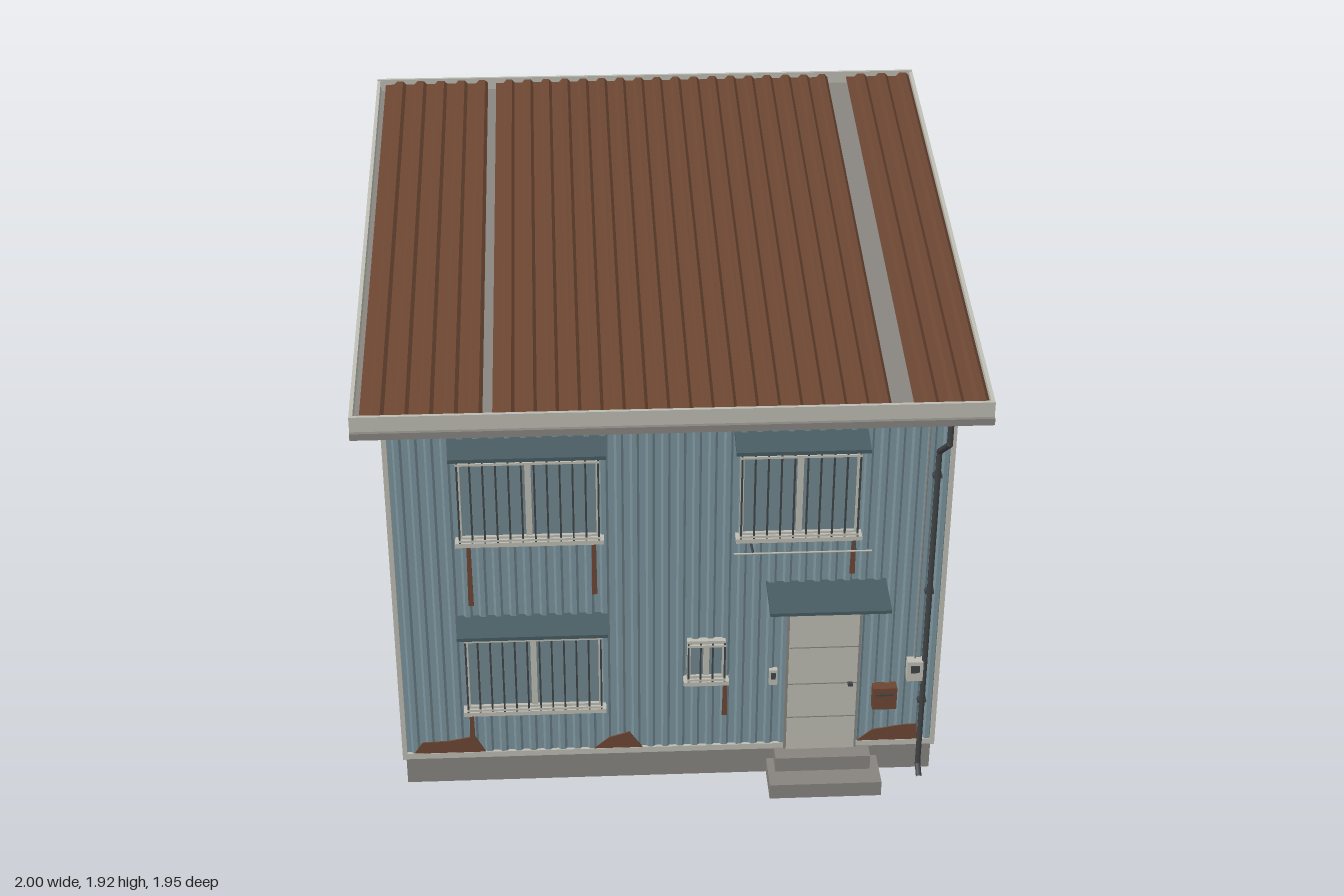
import * as THREE from 'three';

export function createModel() {
  const house = new THREE.Group();
  house.name = 'house';
  const mat = (name, color, side = THREE.FrontSide) => {
    const m = new THREE.MeshStandardMaterial({ color, side });
    m.name = name;
    return m;
  };
  const wall = mat('blueCladding', 0x7a929b, THREE.DoubleSide);
  const trim = mat('paleTrim', 0xbcbcb3);
  const rust = mat('rustBrown', 0x6b4632, THREE.DoubleSide);
  const grey = mat('concreteGrey', 0x87847f);
  const dark = mat('darkMetal', 0x404345);
  const teal = mat('darkTeal', 0x475b61);
  const glass = mat('windowGlass', 0x6f878f);

  const add = (parent, name, geo, material) => {
    const m = new THREE.Mesh(geo, material);
    m.name = name;
    parent.add(m);
    return m;
  };
  // Box given by its limits on each axis
  const box = (p, name, m, x0, x1, y0, y1, z0, z1) => add(p, name,
    new THREE.BoxGeometry(x1 - x0, y1 - y0, z1 - z0)
      .translate((x0 + x1) / 2, (y0 + y1) / 2, (z0 + z1) / 2), m);
  const outline = (pts) => new THREE.Shape(pts.map(([a, b]) => new THREE.Vector2(a, b)));
  // Side profile of [z, y] points, extruded along x
  const sideSlab = (p, name, m, pts, x0, x1) => add(p, name,
    new THREE.ExtrudeGeometry(outline(pts), { depth: x1 - x0, bevelEnabled: false })
      .rotateY(-Math.PI / 2).translate(x1, 0, 0), m);
  // Thin painted plate of [x, y] points on the front wall
  const plate = (p, name, m, pts, z) => add(p, name,
    new THREE.ExtrudeGeometry(outline(pts), { depth: 0.005, bevelEnabled: false }).translate(0, 0, z), m);
  const rod = (p, name, m, a, b, r = 0.004) => add(p, name, new THREE.TubeGeometry(
    new THREE.LineCurve3(new THREE.Vector3(...a), new THREE.Vector3(...b)), 1, r, 6), m);

  // Ribbed sheet: place(u, v, rise) turns sheet coordinates into a point
  const ribbed = (name, m, length, pitch, place) => {
    const n = Math.max(1, Math.round(length / pitch));
    let g = new THREE.PlaneGeometry(1, 1, 4 * n, 1);
    const pos = g.attributes.position;
    const across = [0, 0.4, 0.55, 0.85];
    for (let i = 0; i < pos.count; i++) {
      const col = i % (4 * n + 1), k = col % 4;
      const u = (Math.floor(col / 4) + across[k]) / n;
      pos.setXYZ(i, ...place(u, pos.getY(i) + 0.5, k > 1 ? 1 : 0));
    }
    g = g.toNonIndexed();
    g.computeVertexNormals();
    return add(house, name, g, m);
  };

  const soffit = (z) => 1.51 + 0.181 * (0.95 - z);
  const FRONT = 0.787, SIDE = 0.917, BACK = -0.872;

  // Foundation, wall core and cladding
  box(house, 'foundation', grey, -0.91, 0.91, 0, 0.112, -0.87, 0.775);
  sideSlab(house, 'wallCore', wall,
    [[0.775, 0.11], [0.775, soffit(0.775)], [-0.87, soffit(-0.87)], [-0.87, 0.11]], -0.905, 0.905);
  ribbed('frontCladding', wall, 1.82, 0.05, (u, v, r) =>
    [-0.91 + 1.82 * u, 0.12 + v * (soffit(0.78) - 0.12), 0.777 + 0.008 * r]);
  for (const s of [1, -1]) {
    ribbed(s > 0 ? 'rightCladding' : 'leftCladding', wall, 1.65, 0.05, (u, v, r) => {
      const z = s * (0.775 - 1.645 * u) + (s > 0 ? 0 : -0.095);
      return [s * (0.907 + 0.008 * r), 0.12 + v * (soffit(z) - 0.12), z];
    });
    const x0 = s > 0 ? 0.905 : -0.921, x1 = x0 + 0.016;
    box(house, 'sideBaseTrim', trim, x0, x1, 0.11, 0.132, -0.875, 0.785);
    box(house, 'frontCornerTrim', trim, x0, x1, 0.11, soffit(0.79), 0.772, 0.79);
    box(house, 'backCornerTrim', trim, x0, x1, 0.11, soffit(-0.87), -0.885, -0.867);
  }
  box(house, 'frontBaseTrim', trim, -0.915, 0.915, 0.11, 0.132, 0.77, 0.788);
  box(house, 'backBaseTrim', trim, -0.915, 0.915, 0.11, 0.13, -0.878, -0.865);

  // Sloping roof: deck, ribbed sheets, edge boards
  const slope = (lo, hi, z0 = -0.97, z1 = 0.955) =>
    [[z1, soffit(z1) + lo], [z1, soffit(z1) + hi], [z0, soffit(z0) + hi], [z0, soffit(z0) + lo]];
  sideSlab(house, 'roofDeck', grey, slope(0, 0.016), -0.992, 0.992);
  for (const [a, b] of [[-0.97, -0.59], [-0.56, 0.68], [0.75, 0.987]]) {
    ribbed('roofSheet', rust, b - a, 0.07, (u, v, r) => {
      const z = 0.948 - 1.913 * v;
      return [a + (b - a) * u, soffit(z) + 0.04 + 0.012 * r, z];
    });
  }
  sideSlab(house, 'leftRoofEdge', trim, slope(-0.002, 0.056), -1, -0.988);
  sideSlab(house, 'rightRoofEdge', trim, slope(-0.002, 0.056), 0.988, 1);
  box(house, 'frontFascia', trim, -1, 1, 1.508, 1.566, 0.95, 0.962);
  box(house, 'backFascia', trim, -1, 1, 1.856, 1.916, -0.977, -0.966);
  box(house, 'gutter', grey, -1, 1, 1.492, 1.515, 0.948, 0.975);

  // Downpipe with its bends
  const bends = [[0.965, 1.5], [0.965, 1.42], [0.803, 1.3], [0.803, 0.04], [0.845, 0.012]];
  for (let i = 0; i < 4; i++) {
    rod(house, 'downpipe', dark, [0.865, bends[i][1], bends[i][0]], [0.865, bends[i + 1][1], bends[i + 1][0]], 0.01);
    add(house, 'pipeBend', new THREE.SphereGeometry(0.0105, 8, 6).translate(0.865, bends[i][1], bends[i][0]), dark);
  }
  for (const y of [0.3, 0.75, 1.2]) box(house, 'pipeClip', dark, 0.85, 0.88, y, y + 0.012, 0.78, 0.805);

  // Window facing local +z; x is its centre, y0 to y1 its height
  const windowUnit = (name, turn, x, z, w, y0, y1, bars, awning) => {
    const g = new THREE.Group();
    g.name = name;
    g.position.set(x, 0, z);
    g.rotation.y = turn;
    house.add(g);
    const h = w / 2, f = 0.012;
    box(g, 'glass', glass, -h, h, y0, y1, -0.01, 0.003);
    for (const s of [-1, 1]) {
      box(g, 'frameSide', trim, s * (h - f / 2) - f / 2, s * (h - f / 2) + f / 2, y0, y1, -0.01, 0.014);
    }
    box(g, 'frameTop', trim, -h, h, y1 - f, y1, -0.01, 0.014);
    box(g, 'frameBottom', trim, -h, h, y0, y0 + f, -0.01, 0.014);
    box(g, 'meetingStile', trim, -0.01, 0.01, y0, y1, -0.01, 0.01);
    box(g, 'sill', trim, -h - 0.012, h + 0.012, y0 - 0.016, y0, -0.01, bars ? 0.034 : 0.022);
    if (bars) {
      for (const y of [y0 + 0.004, y1 - 0.012]) box(g, 'grilleRail', trim, -h, h, y, y + 0.008, 0.026, 0.034);
      for (let i = 0; i < bars; i++) {
        const bx = -h + 0.004 + (w - 0.008) * i / (bars - 1);
        box(g, 'grilleBar', dark, bx - 0.003, bx + 0.003, y0, y1, 0.027, 0.033);
      }
    }
    if (awning) {
      const t = y1 + 0.07;
      sideSlab(g, 'awning', teal, [[-0.01, t], [0.085, t - 0.027], [0.085, t - 0.04], [-0.01, t - 0.012]], -h - 0.02, h + 0.02);
    }
  };
  const Q = Math.PI / 2;
  windowUnit('frontUpperLargeWindow', 0, -0.46, FRONT, 0.46, 1.006, 1.31, 12, true);
  windowUnit('frontUpperWindow', 0, 0.42, FRONT, 0.39, 0.995, 1.31, 10, true);
  windowUnit('frontLowerWindow', 0, -0.46, FRONT, 0.46, 0.325, 0.625, 12, true);
  windowUnit('frontSmallWindow', 0, 0.122, FRONT, 0.13, 0.425, 0.58, 4, false);
  windowUnit('rightUpperWindow', Q, SIDE, -0.22, 0.33, 1.038, 1.335, 9, false);
  windowUnit('rightLowerWindow', Q, SIDE, 0.035, 0.245, 0.355, 0.595, 7, false);
  windowUnit('leftUpperWindow', -Q, -SIDE, 0.1, 0.25, 1.038, 1.31, 7, false);
  windowUnit('leftLowerWindow', -Q, -SIDE, -0.155, 0.33, 0.355, 0.625, 9, false);
  windowUnit('backUpperWindow', Math.PI, 0.395, BACK, 0.36, 1.095, 1.4, 0, false);
  windowUnit('backUpperWideWindow', Math.PI, -0.43, BACK, 0.42, 1.09, 1.4, 0, false);
  windowUnit('backSmallWindow', Math.PI, 0.39, BACK, 0.18, 0.37, 0.58, 0, false);
  windowUnit('backLowerWindow', Math.PI, -0.43, BACK, 0.42, 0.29, 0.6, 0, false);

  // Door, canopy and steps
  box(house, 'doorFrame', grey, 0.393, 0.645, 0.112, 0.686, 0.77, 0.796);
  box(house, 'door', trim, 0.402, 0.637, 0.115, 0.679, 0.77, 0.801);
  for (const y of [0.25, 0.39, 0.54]) box(house, 'doorGroove', grey, 0.402, 0.637, y, y + 0.004, 0.8, 0.802);
  box(house, 'doorHandle', dark, 0.606, 0.622, 0.385, 0.396, 0.8, 0.815);
  sideSlab(house, 'doorCanopy', teal, [[0.775, 0.8], [0.94, 0.78], [0.94, 0.768], [0.775, 0.788]], 0.32, 0.72);
  for (const x of [0.35, 0.69]) rod(house, 'canopyBracket', dark, [x, 0.705, 0.785], [x, 0.772, 0.91]);
  box(house, 'lowerStep', grey, 0.337, 0.722, 0, 0.057, 0.77, 0.925);
  box(house, 'upperStep', grey, 0.362, 0.69, 0.05, 0.113, 0.77, 0.85);

  // Drying pole below the upper window
  for (const x of [0.265, 0.6]) rod(house, 'poleBracket', dark, [x, 0.955, 0.785], [x, 0.978, 0.89]);
  rod(house, 'dryingPole', trim, [0.2, 0.982, 0.887], [0.65, 0.982, 0.887], 0.003);

  // Intercom, letter box and meter on the front
  box(house, 'intercom', trim, 0.337, 0.365, 0.39, 0.45, 0.78, 0.8);
  box(house, 'intercomPanel', dark, 0.343, 0.359, 0.415, 0.44, 0.799, 0.802);
  box(house, 'letterBox', rust, 0.692, 0.775, 0.288, 0.375, 0.78, 0.82);
  box(house, 'letterSlot', dark, 0.705, 0.762, 0.345, 0.352, 0.819, 0.822);
  box(house, 'frontMeter', trim, 0.806, 0.86, 0.4, 0.478, 0.78, 0.815);
  box(house, 'frontMeterDial', dark, 0.818, 0.848, 0.435, 0.463, 0.814, 0.818);
  rod(house, 'meterConduit', grey, [0.834, 0.478, 0.789], [0.834, 1.46, 0.789], 0.003);

  // Meter box with its pipe on the left wall
  box(house, 'sideMeter', trim, -0.98, -0.91, 0.262, 0.42, -0.69, -0.58);
  box(house, 'sideMeterDial', dark, -0.983, -0.979, 0.34, 0.39, -0.66, -0.61);
  rod(house, 'sideMeterPipe', grey, [-0.945, 0.265, -0.635], [-0.945, 0.13, -0.635], 0.008);

  // Outdoor cooling unit on the right
  const unit = new THREE.Group();
  unit.name = 'coolingUnit';
  house.add(unit);
  box(unit, 'unitCase', trim, 0.918, 0.99, 0.015, 0.17, -0.7, -0.483);
  for (const z of [-0.67, -0.51]) box(unit, 'unitFoot', dark, 0.92, 0.988, 0, 0.016, z - 0.012, z + 0.012);
  add(unit, 'fanOpening', new THREE.CylinderGeometry(0.06, 0.06, 0.004, 24).rotateZ(Q).translate(0.99, 0.094, -0.563), teal);
  for (const d of [-0.03, 0, 0.03]) {
    const r = Math.sqrt(0.0036 - d * d);
    box(unit, 'fanGuard', trim, 0.99, 0.994, 0.0925 + d, 0.0955 + d, -0.563 - r, -0.563 + r);
  }
  box(unit, 'fanGuardPost', trim, 0.99, 0.994, 0.034, 0.154, -0.566, -0.56);

  // Rust streaks below sills and patches along the base
  for (const [x, top, low] of [[-0.66, 0.99, 0.742], [-0.25, 0.99, 0.775], [0.605, 0.978, 0.83], [-0.677, 0.31, 0.19], [0.188, 0.41, 0.262]]) {
    plate(house, 'rustStreak', rust, [[x - 0.007, top], [x - 0.01, low], [x + 0.008, low], [x + 0.006, top]], 0.785);
  }
  for (const pts of [
    [[-0.88, 0.134], [-0.85, 0.178], [-0.76, 0.182], [-0.67, 0.2], [-0.635, 0.134]],
    [[-0.26, 0.134], [-0.21, 0.178], [-0.14, 0.2], [-0.095, 0.134]],
    [[0.65, 0.134], [0.7, 0.178], [0.8, 0.195], [0.855, 0.198], [0.86, 0.134]],
  ]) plate(house, 'rustPatch', rust, pts, 0.784);

  return house;
}
